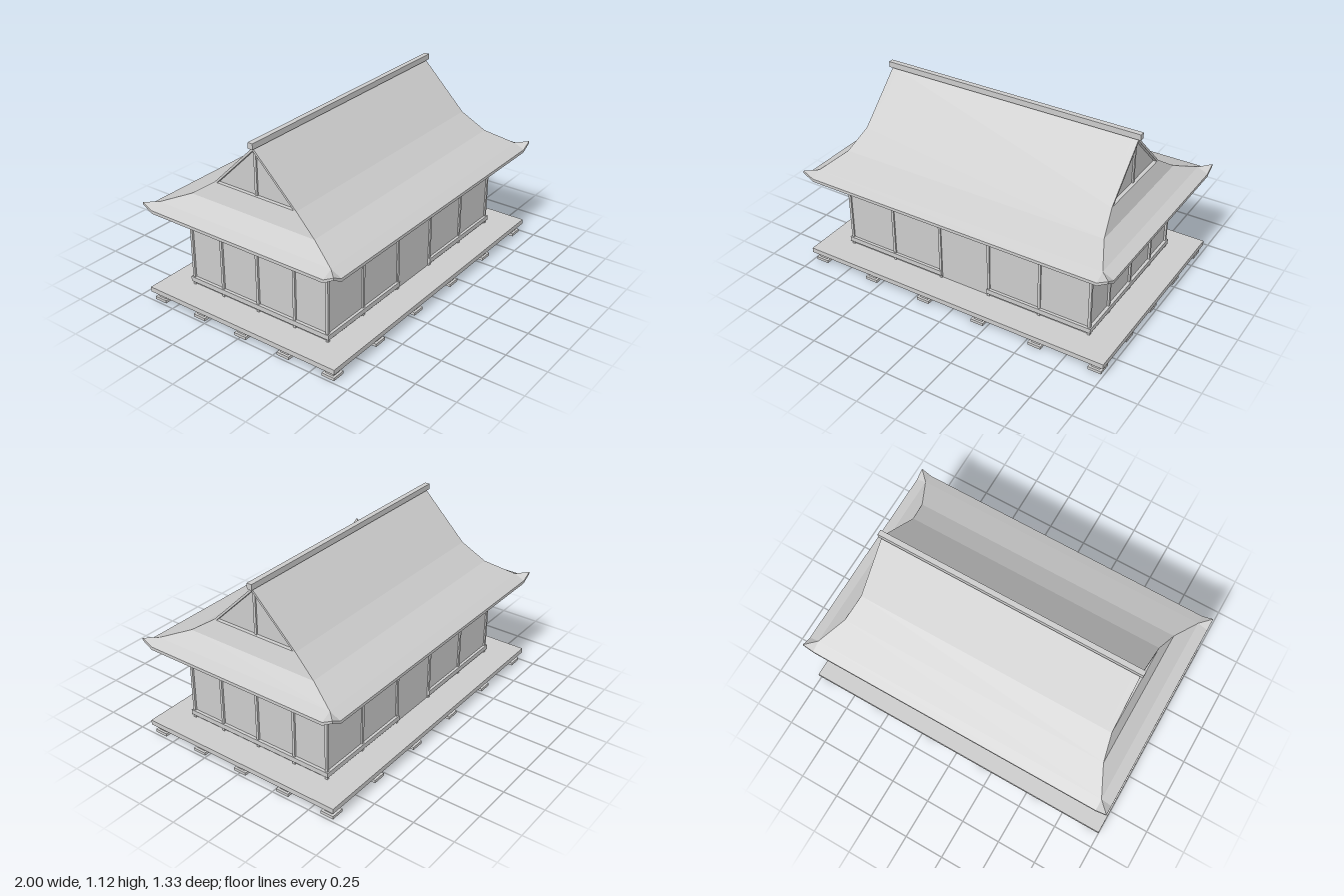
import * as THREE from 'three';

const mat = new THREE.MeshStandardMaterial({ color: 0xcccccc, flatShading: true });

function mesh(parent, name, geo) {
  const m = new THREE.Mesh(geo, mat);
  m.name = name;
  parent.add(m);
  return m;
}

// Box given by its min and max on each axis
function box(parent, name, x0, x1, y0, y1, z0, z1) {
  const m = mesh(parent, name, new THREE.BoxGeometry(x1 - x0, y1 - y0, z1 - z0));
  m.position.set((x0 + x1) / 2, (y0 + y1) / 2, (z0 + z1) / 2);
  return m;
}

// One roof side facing +z. Rows are [half width, height, distance out], top to eave.
function roofSide(rows, corner, eaveBottom) {
  const pos = [];
  const tri = (...p) => p.forEach(v => pos.push(...v));
  const quad = (a, b, c, d) => { tri(a, b, c); tri(a, c, d); };
  const R = p => p, L = p => [-p[0], p[1], p[2]];
  const drop = (p, y) => [p[0], y, p[2]];

  // sloping bands
  for (let i = 0; i < rows.length - 1; i++)
    quad(L(rows[i]), L(rows[i + 1]), R(rows[i + 1]), R(rows[i]));

  // raised corner tips, eave edge and soffit
  const eave = rows[rows.length - 1], hip = rows[rows.length - 2];
  const eaveLow = drop(eave, eaveBottom), hipLow = drop(hip, eaveBottom);
  const cornerLow = drop(corner, corner[1] - 0.015);
  tri(hip, eave, corner);
  tri(L(hip), L(corner), L(eave));
  quad(L(eave), L(eaveLow), eaveLow, eave);
  quad(eave, eaveLow, cornerLow, corner);
  quad(L(corner), L(cornerLow), L(eaveLow), L(eave));
  quad(L(hipLow), hipLow, eaveLow, L(eaveLow));
  tri(L(hipLow), [0, eaveBottom, 0], hipLow);
  tri(hipLow, cornerLow, eaveLow);
  tri(L(hipLow), L(eaveLow), L(cornerLow));

  const g = new THREE.BufferGeometry();
  g.setAttribute('position', new THREE.Float32BufferAttribute(pos, 3));
  g.computeVertexNormals();
  return g;
}

function buildBase(root) {
  const base = new THREE.Group();
  base.name = 'base';
  root.add(base);
  box(base, 'deck', -1, 1, 0.055, 0.085, -0.665, 0.665);
  // footings around the edge only
  for (let i = 0; i < 6; i++) for (let j = 0; j < 5; j++) {
    if (i > 0 && i < 5 && j > 0 && j < 4) continue;
    const x = -0.942 + i * 0.3768, z = -0.61 + j * 0.305;
    box(base, 'footingPad', x - 0.041, x + 0.041, 0, 0.018, z - 0.041, z + 0.041);
    box(base, 'footingPost', x - 0.027, x + 0.027, 0.018, 0.055, z - 0.027, z + 0.027);
  }
}

function buildWalls(root) {
  const walls = new THREE.Group();
  walls.name = 'walls';
  root.add(walls);
  box(walls, 'wallPanels', -0.813, 0.813, 0.085, 0.588, -0.483, 0.483);

  const post = (x, z) => box(walls, 'wallPost', x - 0.008, x + 0.008, 0.085, 0.588, z - 0.008, z + 0.008);
  for (const s of [-1, 1]) {
    for (const x of [-0.817, -0.5, -0.166, 0.166, 0.5, 0.817]) post(x, s * 0.484);
    for (const z of [-0.26, 0, 0.26]) post(s * 0.817, z);

    // beams; the lower ones leave the middle bay open for a door
    const [z0, z1] = s > 0 ? [0.475, 0.5] : [-0.5, -0.475];
    const [x0, x1] = s > 0 ? [0.808, 0.832] : [-0.832, -0.808];
    box(walls, 'upperBeam', -0.832, 0.832, 0.54, 0.57, z0, z1);
    box(walls, 'upperSideBeam', x0, x1, 0.54, 0.57, -0.5, 0.5);
    box(walls, 'lowerSideBeam', x0, x1, 0.105, 0.135, -0.5, 0.5);
    box(walls, 'lowerBeamLeft', 0.158, 0.832, 0.105, 0.135, z0, z1);
    box(walls, 'lowerBeamRight', -0.832, -0.158, 0.105, 0.135, z0, z1);
  }
}

function buildRoof(root) {
  const roof = new THREE.Group();
  roof.name = 'roof';
  root.add(roof);

  // long slopes run to the ridge, end slopes stop below the gables
  const long = roofSide([[0.815, 1.087, 0], [0.815, 0.805, 0.285], [0.85, 0.705, 0.43],
    [0.935, 0.635, 0.6], [0.935, 0.605, 0.665]], [1, 0.64, 0.665], 0.586);
  const end = roofSide([[0.285, 0.805, 0.815], [0.43, 0.705, 0.85],
    [0.6, 0.635, 0.935], [0.6, 0.605, 1]], [0.665, 0.64, 1], 0.586);
  for (let k = 0; k < 4; k++)
    mesh(roof, k % 2 ? 'endSlope' : 'longSlope', k % 2 ? end : long).rotation.y = k * Math.PI / 2;

  box(roof, 'ridgeBeam', -0.832, 0.832, 1.085, 1.12, -0.016, 0.016);

  // gables: bargeboards, recessed panel, centre post and ledge
  const extrude = (pts, depth) => new THREE.ExtrudeGeometry(
    new THREE.Shape(pts.map(p => new THREE.Vector2(...p))), { depth, bevelEnabled: false });
  const barge = extrude([[-0.285, 0.805], [-0.267, 0.805], [0, 1.069], [0.267, 0.805],
    [0.285, 0.805], [0, 1.087]], 0.035);
  const panel = extrude([[-0.276, 0.8], [0.276, 0.8], [0, 1.075]], 0.01);
  for (const s of [-1, 1]) {
    const gable = new THREE.Group();
    gable.name = 'gable';
    gable.rotation.y = s * Math.PI / 2;
    roof.add(gable);
    mesh(gable, 'bargeboards', barge).position.z = 0.78;
    mesh(gable, 'gablePanel', panel).position.z = 0.782;
    box(gable, 'gablePost', -0.008, 0.008, 0.8, 1.07, 0.785, 0.801);
    box(gable, 'gableLedge', -0.28, 0.28, 0.79, 0.8045, 0.78, 0.815);
  }
}

export function createModel() {
  const root = new THREE.Group();
  root.name = 'pavilion';
  buildBase(root);
  buildWalls(root);
  buildRoof(root);
  return root;
}
